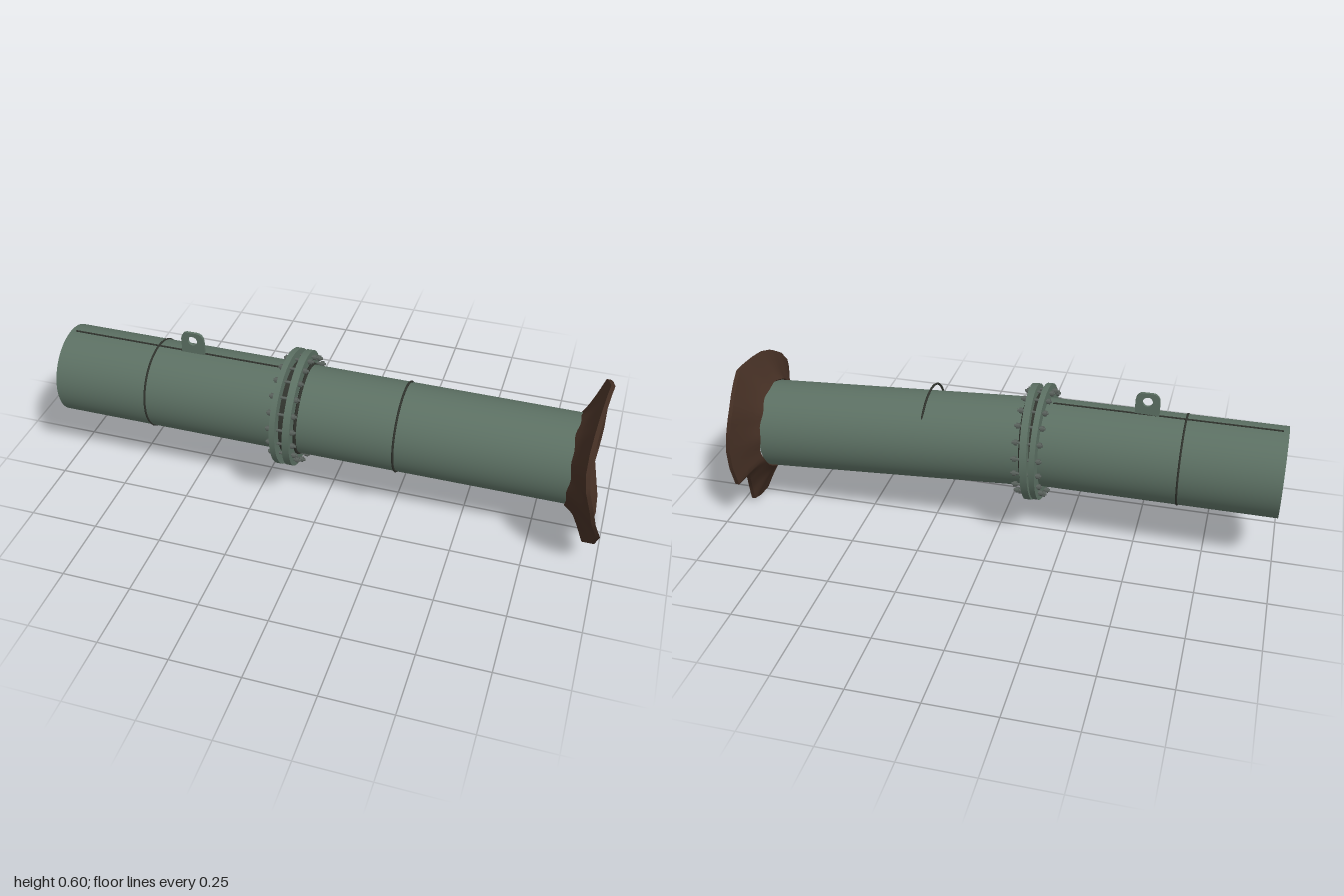
import * as THREE from 'three';
import { toCreasedNormals } from 'three/addons/utils/BufferGeometryUtils.js';

const mat = (name, color, side = THREE.FrontSide) => {
  const m = new THREE.MeshStandardMaterial({ color, side });
  m.name = name;
  return m;
};

export function createModel() {
  const model = new THREE.Group();
  const green = mat('greenPaint', 0x5c7063);
  const rust = mat('tornRust', 0x432e23, THREE.DoubleSide);
  const weldDark = mat('darkWeld', 0x30332d);
  const steel = mat('boltSteel', 0x5a625d);

  const UP = new THREE.Vector3(0, 1, 0);
  const axisA = new THREE.Vector3(1, 0, 0);
  const startB = new THREE.Vector3(-0.112, 0.347, 0.041);
  const axisB = new THREE.Vector3(0.992, -0.035, -0.043).normalize();
  const centreA = x => new THREE.Vector3(x, 0.35, 0.045);
  const centreB = d => startB.clone().addScaledVector(axisB, d);

  const add = (name, geo, material, parent = model) => {
    const m = new THREE.Mesh(geo, material);
    m.name = name;
    parent.add(m);
    return m;
  };

  // Hollow ring or pipe starting at pos and running along axis
  const hollow = (name, rOut, rIn, len, pos, axis, material) => {
    const pts = [[rOut, 0], [rOut, len], [rIn, len], [rIn, 0], [rOut, 0]]
      .map(p => new THREE.Vector2(...p));
    const m = add(name, toCreasedNormals(new THREE.LatheGeometry(pts, 64), 0.6), material);
    m.position.copy(pos);
    m.quaternion.setFromUnitVectors(UP, axis);
    return m;
  };

  // Weld bead circling an axis
  const bead = (name, r, tube, pos, axis) => {
    const m = add(name, new THREE.TorusGeometry(r, tube, 6, 64), weldDark);
    m.position.copy(pos);
    m.quaternion.setFromUnitVectors(new THREE.Vector3(0, 0, 1), axis);
  };

  // Two pipe sections, the second sagging slightly off line
  hollow('straightPipe', 0.161, 0.157, 0.88, centreA(-1), axisA, green);
  hollow('bentPipe', 0.161, 0.157, 0.993, startB, axisB, green);

  // Bolted flange pair with gasket
  hollow('leftFlange', 0.212, 0.156, 0.02, centreA(-0.16), axisA, green);
  hollow('gasket', 0.172, 0.154, 0.025, centreA(-0.142), axisA, weldDark);
  hollow('rightFlange', 0.211, 0.156, 0.025, centreB(-0.012), axisB, green);

  bead('pipeWeld', 0.161, 0.004, centreA(-0.65), axisA);
  bead('looseBand', 0.161, 0.004, centreA(0.27), axisA);
  bead('flangeWeld', 0.162, 0.006, centreB(0.02), axisB);

  // Lengthwise seam on top
  add('topSeam', new THREE.BoxGeometry(0.8, 0.006, 0.006), weldDark).position.set(-0.58, 0.511, 0.045);

  // Bolts round the flanges
  const bolts = new THREE.Group();
  bolts.name = 'flangeBolts';
  model.add(bolts);
  const shaft = new THREE.CylinderGeometry(0.005, 0.005, 0.11, 8);
  const nut = new THREE.CylinderGeometry(0.01, 0.01, 0.012, 6);
  const count = 20;
  for (let i = 0; i < count; i++) {
    const a = (i + 0.5) / count * Math.PI * 2;
    const y = 0.349 + 0.188 * Math.sin(a), z = 0.043 + 0.188 * Math.cos(a);
    for (const [name, geo, x] of [['boltShaft', shaft, -0.126], ['boltHead', nut, -0.17], ['boltNut', nut, -0.084]]) {
      const m = add(name, geo, steel, bolts);
      m.position.set(x, y, z);
      m.rotation.z = -Math.PI / 2;
    }
  }

  // Lifting lug with eye
  const lug = new THREE.Shape();
  lug.moveTo(-0.043, 0);
  lug.lineTo(0.043, 0);
  lug.lineTo(0.043, 0.06);
  lug.quadraticCurveTo(0.04, 0.09, 0.015, 0.09);
  lug.lineTo(-0.015, 0.09);
  lug.quadraticCurveTo(-0.04, 0.09, -0.043, 0.06);
  lug.closePath();
  lug.holes.push(new THREE.Path().absarc(0, 0.057, 0.018, 0, Math.PI * 2, true));
  add('liftingLug', new THREE.ExtrudeGeometry(lug, { depth: 0.01, bevelEnabled: false, curveSegments: 12 }), green)
    .position.set(-0.513, 0.505, 0.042);

  // Torn flare: ragged rim as [z, y, x]
  const rim = [
    [-0.045, 0.573, 0.955], [-0.1, 0.57, 0.96], [-0.15, 0.553, 0.95], [-0.2, 0.525, 0.94],
    [-0.235, 0.49, 0.935], [-0.255, 0.46, 0.935], [-0.275, 0.4, 0.94], [-0.283, 0.34, 0.945],
    [-0.275, 0.26, 0.945], [-0.255, 0.182, 0.94], [-0.175, 0.178, 0.935], [-0.11, 0.075, 0.965],
    [-0.09, 0.01, 0.97], [-0.045, 0, 0.965], [0, 0.01, 0.955], [0.04, 0.05, 0.945],
    [0.073, 0.088, 0.94], [0.13, 0.056, 0.955], [0.2, 0.12, 0.985], [0.25, 0.2, 1],
    [0.275, 0.27, 0.98], [0.285, 0.34, 0.965], [0.275, 0.4, 0.945], [0.245, 0.45, 0.935],
    [0.2, 0.5, 0.935], [0.14, 0.54, 0.94], [0.08, 0.562, 0.945], [0.02, 0.57, 0.95],
  ];
  const SUB = 3, STEPS = 5, n = rim.length * SUB, rows = STEPS * 2 + 2;
  const cy = 0.312, pos = [], idx = [];
  for (let i = 0; i < n; i++) {
    const p = rim[Math.floor(i / SUB)], q = rim[(Math.floor(i / SUB) + 1) % rim.length];
    const [z, y, x] = p.map((v, k) => v + (q[k] - v) * (i % SUB) / SUB);
    const a = Math.atan2(y - cy, z), r1 = Math.hypot(y - cy, z);
    for (let j = 0; j < rows; j++) {
      const front = j <= STEPS;
      const t = (front ? j : rows - 1 - j) / STEPS;
      const r0 = front ? 0.155 : 0.166;
      const x0 = (front ? 0.88 : 0.867) + 0.006 * Math.sin(7 * a) * Math.sin(3 * a + 1);
      const r = r0 + (r1 - r0) * Math.pow(t, 1.25);
      pos.push(x0 + (x - (front ? 0 : 0.014) - x0) * t, cy + r * Math.sin(a), r * Math.cos(a));
      const i2 = (i + 1) % n, j2 = (j + 1) % rows;
      const A = i * rows + j, B = i2 * rows + j, C = i2 * rows + j2, D = i * rows + j2;
      idx.push(A, B, D, B, C, D);
    }
  }
  const flare = new THREE.BufferGeometry();
  flare.setAttribute('position', new THREE.Float32BufferAttribute(pos, 3));
  flare.setIndex(idx);
  add('tornFlare', toCreasedNormals(flare, 0.6), rust);

  return model;
}
